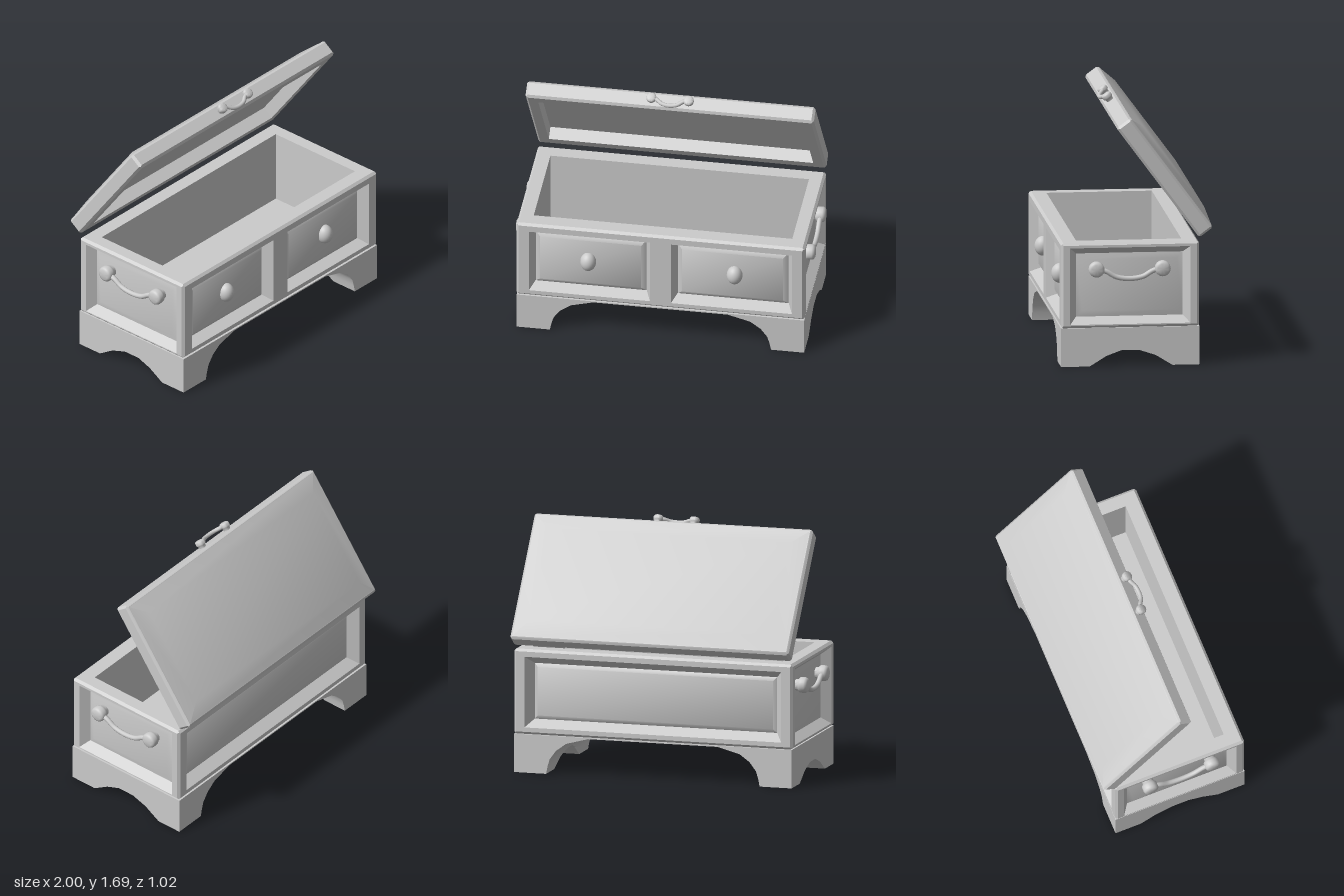
import * as THREE from 'three';
import { mergeGeometries, toCreasedNormals } from 'three/addons/utils/BufferGeometryUtils.js';

const material = new THREE.MeshStandardMaterial({ color: 0xcccccc });

function mesh(name, geometry, parent) {
  const m = new THREE.Mesh(geometry, material);
  m.name = name;
  parent.add(m);
  return m;
}

// Corners of a rectangle [x0, x1, y0, y1], inset and lifted to z
const loop = ([x0, x1, y0, y1], inset, z) => [
  [x0 + inset, y0 + inset, z], [x1 - inset, y0 + inset, z],
  [x1 - inset, y1 - inset, z], [x0 + inset, y1 - inset, z]];

// Rectangular face towards +z with chamfered rim; each opening is a rect
// followed by [inset, z] steps that form a recess or a raised field
function face(w, h, openings, c) {
  const pos = [];
  const quad = (a, b, d, e) => pos.push(...a, ...b, ...d, ...a, ...d, ...e);
  const ring = (a, b) => a.forEach((p, i) => quad(p, a[(i + 1) % 4], b[(i + 1) % 4], b[i]));
  const rim = [-w / 2, w / 2, -h / 2, h / 2];
  ring(loop(rim, c / 2, -c / 2), loop(rim, c, 0));
  const toPoints = l => l.map(p => new THREE.Vector2(p[0], p[1]));
  const shape = new THREE.Shape(toPoints(loop(rim, c, 0)));
  for (const { rect, steps } of openings) {
    shape.holes.push(new THREE.Path(toPoints(loop(rect, 0, 0)).reverse()));
    let last = loop(rect, 0, 0);
    for (const [inset, z] of steps) {
      const next = loop(rect, inset, z);
      ring(last, next);
      last = next;
    }
    quad(...last);
  }
  const flat = new THREE.ShapeGeometry(shape).toNonIndexed();
  pos.push(...flat.attributes.position.array);
  const g = new THREE.BufferGeometry();
  g.setAttribute('position', new THREE.Float32BufferAttribute(pos, 3));
  return g;
}

// Chamfered box about the origin with recesses on any of its six faces
function panelBox(w, h, d, c, openings) {
  const H = Math.PI / 2;
  const sides = {
    front: [w, h, d, 0, 0], back: [w, h, d, 0, Math.PI],
    left: [d, h, w, 0, H], right: [d, h, w, 0, -H],
    top: [w, d, h, -H, 0], bottom: [w, d, h, H, 0],
  };
  const parts = Object.entries(sides).map(([key, [fw, fh, depth, rx, ry]]) =>
    face(fw, fh, openings[key] || [], c).translate(0, 0, depth / 2).rotateX(rx).rotateY(ry));
  return toCreasedNormals(mergeGeometries(parts), 0.6);
}

// Hanging handle facing +z: two round knobs and a sagging bar
function handle(name, span, r, length, sag, barR) {
  const g = new THREE.Group();
  g.name = name;
  const profile = [[0, 0], [0.7, 0], [0.75, 0.3], [0.97, 0.42], [1, 0.55], [1, 0.8], [0.9, 0.93], [0.65, 1], [0, 1]]
    .map(([x, y]) => new THREE.Vector2(x * r, y * length));
  for (const s of [-1, 1]) {
    const knob = mesh('handleKnob', toCreasedNormals(new THREE.LatheGeometry(profile, 24).rotateX(Math.PI / 2), 0.8), g);
    knob.position.x = s * span / 2;
  }
  const path = new THREE.CatmullRomCurve3(
    [[-1, 0], [-0.72, -0.2], [-0.4, -0.8], [0, -1], [0.4, -0.8], [0.72, -0.2], [1, 0]]
      .map(([x, y]) => new THREE.Vector3(x * span / 2, y * sag, length * 0.65)));
  mesh('handleBar', new THREE.TubeGeometry(path, 32, barR, 10), g);
  return g;
}

// Base block arched from front to back, with a second arch across the feet
function baseGeometry() {
  const half = [[0.45, 0.25], [0.6, 0.21], [0.67, 0.16], [0.715, 0.1], [0.73, 0.05], [0.74, 0], [0.962, 0], [0.962, 0.258]];
  const outline = [...half, ...half.map(([x, y]) => [-x, y]).reverse()];
  const slices = [[-0.42, 0], [-0.24, 0], [-0.13, 0.068], [-0.02, 0.105], [0.1, 0.105], [0.2, 0.068], [0.31, 0], [0.5, 0]];
  const g = new THREE.ExtrudeGeometry(new THREE.Shape(outline.map(p => new THREE.Vector2(...p))),
    { depth: 7, steps: 7, bevelEnabled: false });
  const p = g.attributes.position;
  for (let i = 0; i < p.count; i++) {
    const [z, floor] = slices[Math.round(p.getZ(i))];
    p.setXYZ(i, p.getX(i), Math.max(p.getY(i), floor), z);
  }
  return toCreasedNormals(g, 0.55);
}

export function createModel() {
  const model = new THREE.Group();
  model.name = 'storageChest';

  mesh('footedBase', baseGeometry(), model);

  // Chest body with drawer fronts, panelled sides and open interior
  const drawerSteps = [[0.035, -0.08], [0.037, -0.07], [0.067, -0.05]];
  const sidePanel = [{ rect: [-0.4, 0.4, -0.2625, 0.2525], steps: [[0.045, -0.06], [0.085, -0.05]] }];
  const body = mesh('chestBody', panelBox(1.93, 0.572, 0.92, 0.016, {
    front: [-0.88, 0.07].map(x => ({ rect: [x, x + 0.81, -0.2425, 0.2275], steps: drawerSteps })),
    back: [{ rect: [-0.89, 0.89, -0.24, 0.235], steps: [[0.05, -0.07], [0.075, -0.055]] }],
    left: sidePanel,
    right: sidePanel,
    top: [{ rect: [-0.865, 0.865, -0.35, 0.35], steps: [[0, -0.5]] }],
  }), model);
  body.position.set(0, 0.544, 0.04);

  // Drawer knobs and side handles
  for (const s of [-1, 1]) {
    const knob = mesh('drawerKnob', new THREE.SphereGeometry(1, 24, 16), model);
    knob.scale.set(0.053, 0.066, 0.055);
    knob.position.set(s * 0.49, 0.545, 0.457);

    const side = handle(s > 0 ? 'leftHandle' : 'rightHandle', 0.44, 0.052, 0.095, 0.065, 0.017);
    side.position.set(s * 0.905, 0.652, 0.045);
    side.rotation.y = s * Math.PI / 2;
    model.add(side);
  }

  // Open lid, hinged at its lower rear edge
  const lid = new THREE.Group();
  lid.name = 'lid';
  lid.position.set(0, 0.85, -0.42);
  lid.rotation.x = -0.935;
  model.add(lid);
  const panel = mesh('lidPanel', panelBox(1.93, 0.115, 0.926, 0.016, {
    top: [{ rect: [-0.945, 0.945, -0.443, 0.443], steps: [[0.105, 0.032]] }],
    bottom: [{ rect: [-0.885, 0.885, -0.37, 0.37], steps: [[0, -0.085]] }],
  }), lid);
  panel.position.set(0, 0.0575, 0.463);
  const lidHandle = handle('lidHandle', 0.25, 0.034, 0.056, 0.045, 0.014);
  lidHandle.position.set(0, 0.062, 0.924);
  lid.add(lidHandle);

  return model;
}
